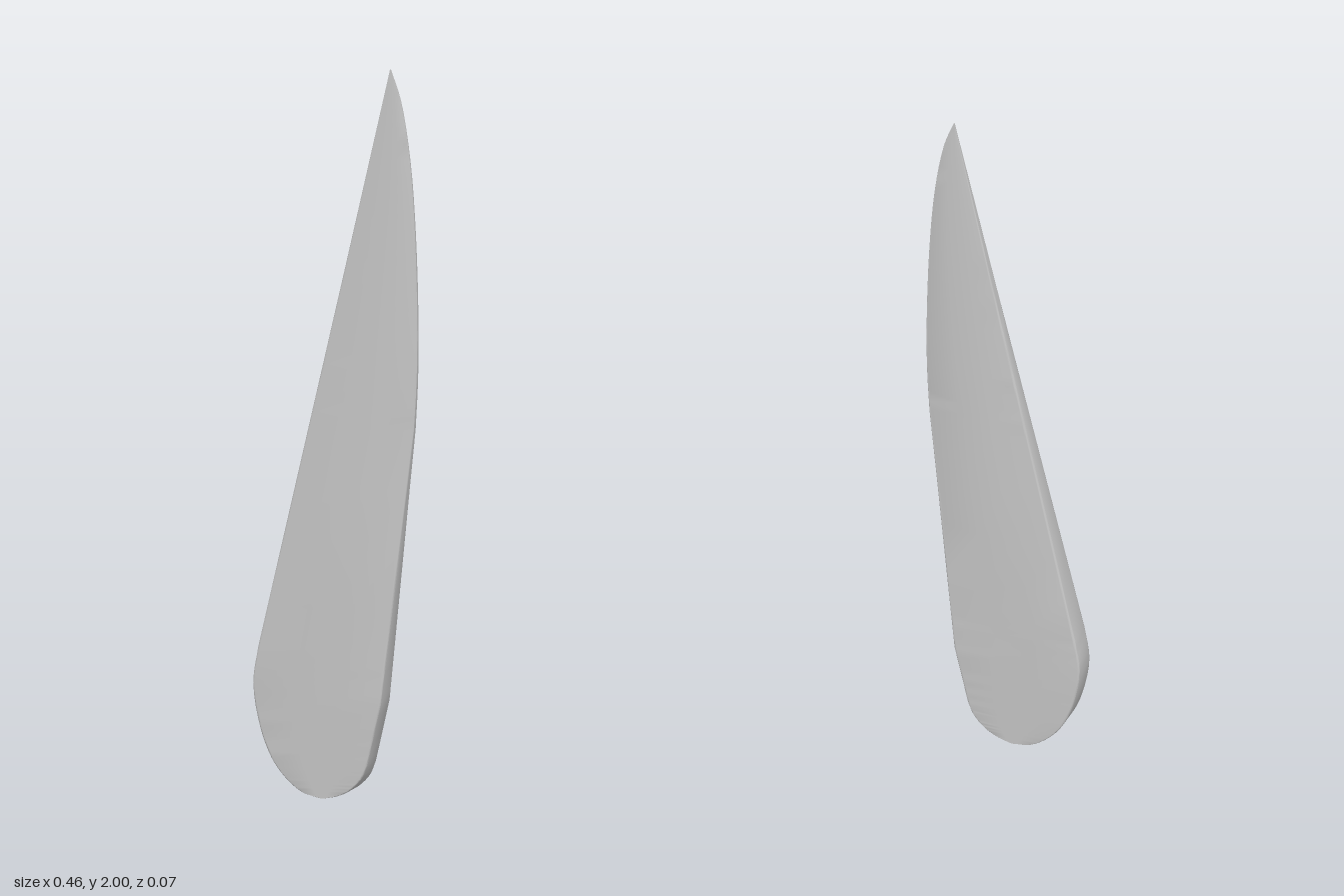
import * as THREE from 'three';
import { toCreasedNormals } from 'three/addons/utils/BufferGeometryUtils.js';

// Smooth run of [y, x] points
function curve(points, steps) {
  const path = new THREE.CatmullRomCurve3(points.map(([y, x]) => new THREE.Vector3(x, y, 0)));
  return path.getPoints(steps).map((p) => [p.y, p.x]);
}

// Edge profiles as [y, x], from the round root to the tip
const leftEdge = [
  ...curve([[0, -0.04], [0.012, -0.09], [0.05, -0.14], [0.1, -0.178], [0.18, -0.21],
    [0.3, -0.23], [0.4, -0.216]], 24),
  [2, 0.15],
];
const rightEdge = [
  ...curve([[0, -0.025], [0.008, 0.01], [0.025, 0.045], [0.06, 0.08], [0.1, 0.097]], 14),
  [0.27, 0.136],
  ...curve([[1.02, 0.221], [1.15, 0.228], [1.29, 0.23], [1.55, 0.223], [1.76, 0.207],
    [1.92, 0.18], [2, 0.152]], 24),
];

// Half thickness as [y, z] along the two edges and the middle
const leftThick = [[0, 0.0355], [0.38, 0.0355], [2, 0.0015]];
const midThick = [[0, 0.0355], [0.67, 0.0355], [2, 0.0015]];
const rightThick = [[0, 0.0355], [0.27, 0.0355], [1.02, 0.008], [2, 0.0015]];

function sample(table, y) {
  for (let i = 1; i < table.length; i++) {
    const [y0, v0] = table[i - 1], [y1, v1] = table[i];
    if (y <= y1) return v0 + (v1 - v0) * (y - y0) / (y1 - y0);
  }
  return table[table.length - 1][1];
}

// Rounded corner from the side face onto the broad face; dir points inwards in x
function corner(x, h, w, dir) {
  const b = Math.min(0.005, h * 0.4, w * 0.1);
  const arc = [0, 1, 2, 3].map((k) => {
    const t = k * Math.PI / 6;
    return [x + dir * b * (1 - Math.cos(t)), h - b + b * Math.sin(t)];
  });
  return [...arc, [x + dir * b * 1.5, h]];
}

// Lens-shaped cross-section with rounded corners
function section(y) {
  const l = sample(leftEdge, y), r = sample(rightEdge, y), w = r - l;
  const hm = sample(midThick, y);
  const front = [
    ...corner(l, sample(leftThick, y), w, 1),
    [l + w * 0.35, hm], [l + w * 0.65, hm],
    ...corner(r, sample(rightThick, y), w, -1).reverse(),
  ];
  const back = front.map(([x, z]) => [x, -z]).reverse();
  return [...front, ...back].map(([x, z]) => [x, y, z]);
}

function bladeGeometry() {
  const heights = [...leftEdge, ...rightEdge, ...midThick, [0.52], [0.85]].map((p) => p[0].toFixed(3));
  const levels = [...new Set(heights)].map(Number).sort((a, b) => a - b);
  const rings = levels.map(section);
  const n = rings[0].length, index = [];
  for (let j = 0; j < levels.length - 1; j++) {
    for (let i = 0; i < n; i++) {
      const a = j * n + i, b = j * n + (i + 1) % n;
      index.push(a, b, b + n, a, b + n, a + n);
    }
  }
  // Close the root and the tip
  const top = (levels.length - 1) * n;
  for (let i = 1; i < n - 1; i++) index.push(0, i + 1, i, top, top + i, top + i + 1);
  const geometry = new THREE.BufferGeometry();
  geometry.setAttribute('position', new THREE.Float32BufferAttribute(rings.flat(2), 3));
  geometry.setIndex(index);
  return toCreasedNormals(geometry, THREE.MathUtils.degToRad(40));
}

export function createModel() {
  const lightGrey = new THREE.MeshStandardMaterial({ color: 0xc6c6c6 });
  lightGrey.name = 'lightGrey';
  const blade = new THREE.Mesh(bladeGeometry(), lightGrey);
  blade.name = 'blade';
  const model = new THREE.Group();
  model.name = 'taperedBlade';
  model.add(blade);
  return model;
}
